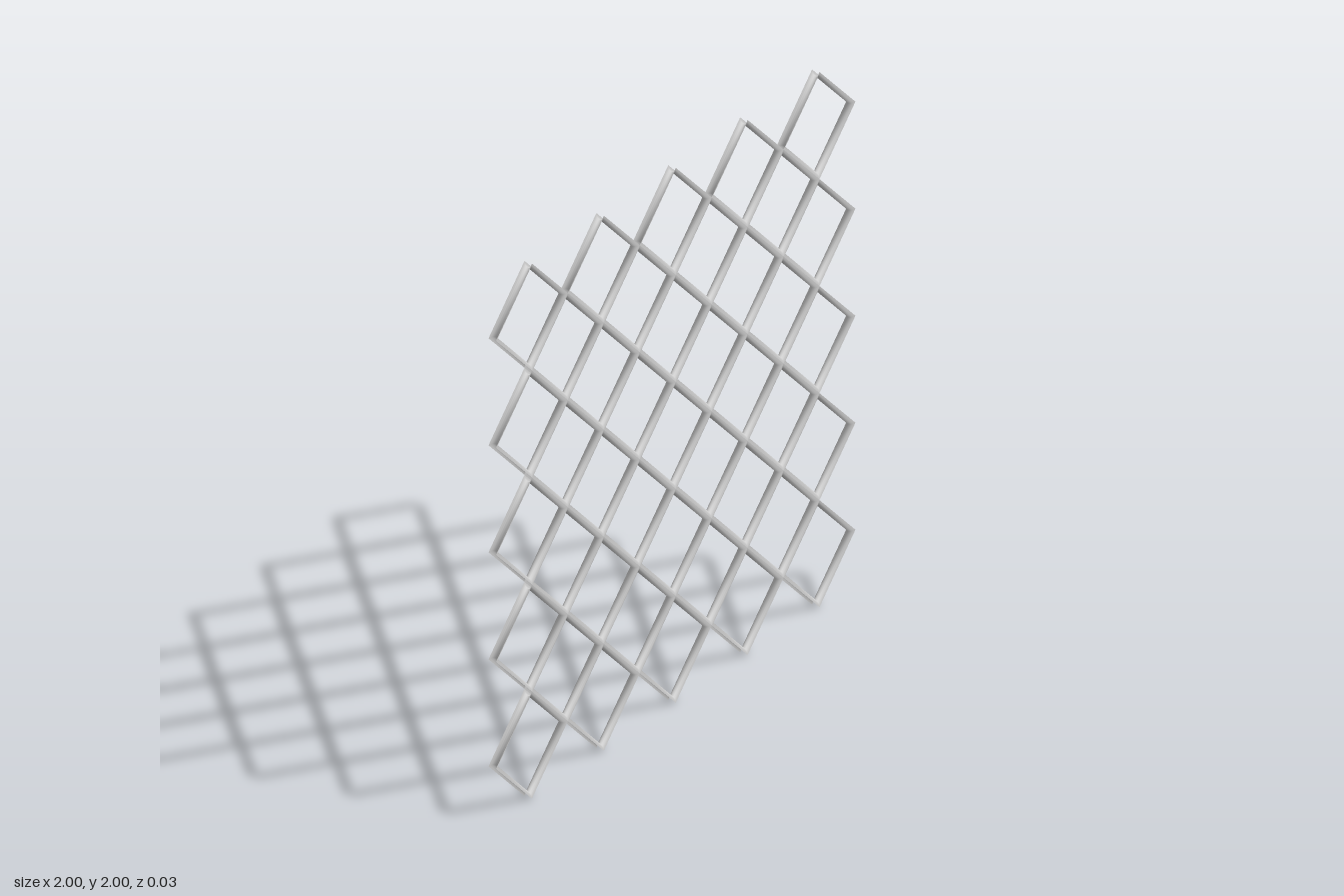
import * as THREE from 'three';

const HALF = 0.2;           // half diagonal of one diamond cell
const BAR = 0.015;          // radius of the half-round bar
const material = new THREE.MeshStandardMaterial({ color: 0xcccccc, side: THREE.DoubleSide });

// Four-sided frame: a half-round profile bulging towards the cell's middle
function cellGeometry() {
  const profile = [];
  for (let i = 0; i <= 8; i++) {
    const a = (i / 8) * Math.PI;
    profile.push(new THREE.Vector2(HALF - BAR * Math.SQRT2 * Math.sin(a), BAR * Math.cos(a)));
  }
  return new THREE.LatheGeometry(profile, 4).rotateX(Math.PI / 2);
}

// Square block of n x n cells standing corner to corner
function cellGrid(name, n, geometry) {
  const group = new THREE.Group();
  group.name = name;
  for (let row = 0; row < n; row++) {
    for (let col = 0; col < n; col++) {
      const cell = new THREE.Mesh(geometry, material);
      cell.name = 'diamondFrame';
      cell.position.set((col - (n - 1) / 2) * 2 * HALF, 1 + (row - (n - 1) / 2) * 2 * HALF, 0);
      group.add(cell);
    }
  }
  return group;
}

export function createModel() {
  const lattice = new THREE.Group();
  lattice.name = 'diamondLattice';
  const geometry = cellGeometry();
  // The inner cells fill the gaps, completing the shared bars to full rounds
  lattice.add(cellGrid('mainCells', 5, geometry), cellGrid('innerCells', 4, geometry));
  return lattice;
}
